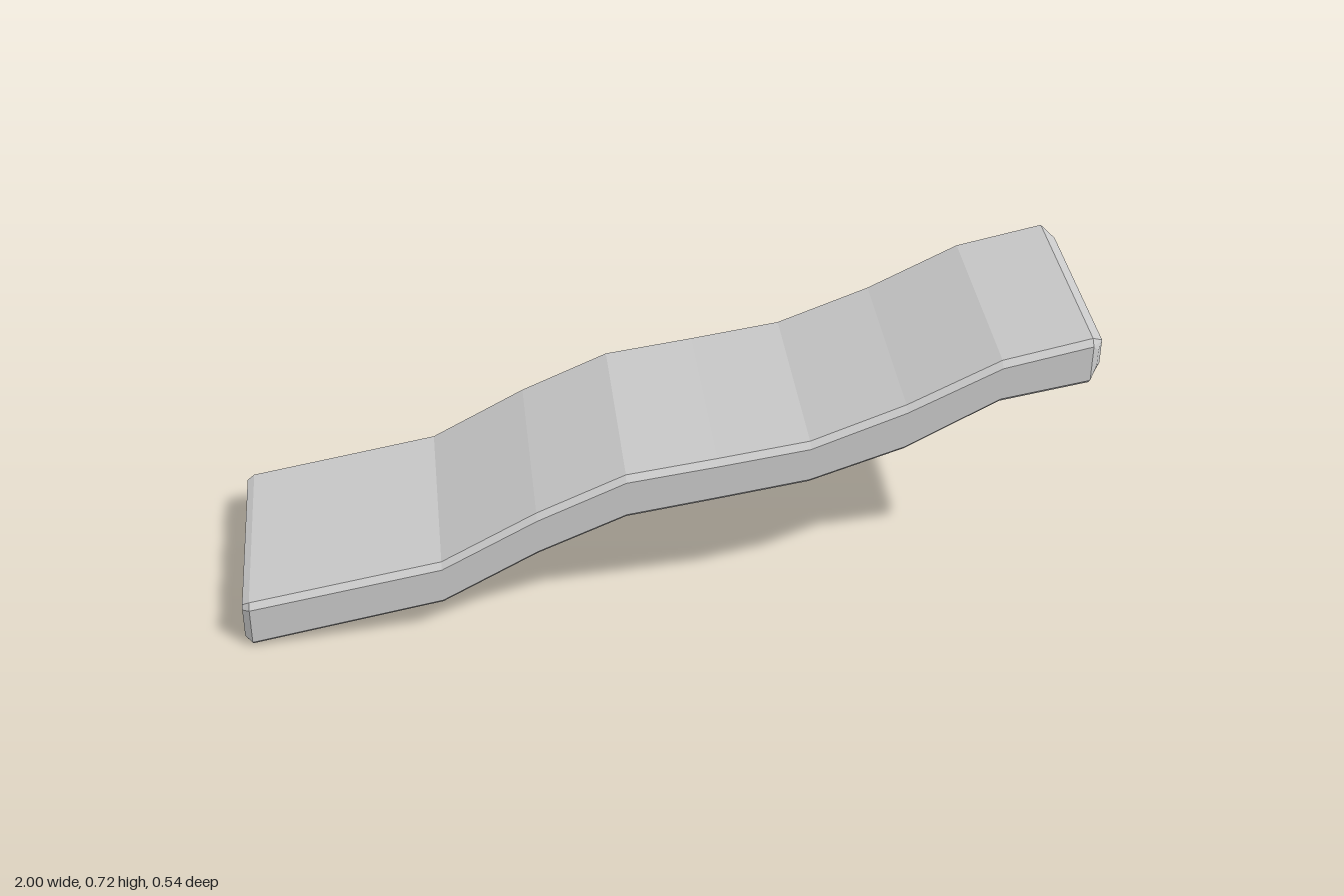
import * as THREE from 'three';

// Eight-sided bevelled section at x: bottom, top, flat half-width, side half-width, bevel height, side setback
function section([x, yb, yt, flat = 0.257, side = 0.271, bevel = 0.014, back = 0]) {
  const p = (px, y, z) => new THREE.Vector3(px, y, z);
  const sx = x - back;
  return [
    p(sx, yb + bevel, side), p(sx, yt - bevel, side), p(x, yt, flat), p(x, yt, -flat),
    p(sx, yt - bevel, -side), p(sx, yb + bevel, -side), p(x, yb, -flat), p(x, yb, flat),
  ];
}

// Skin the sections with flat quads and close both ends
function loft(sections) {
  const points = [];
  const quad = (a, b, c, d) => points.push(a, b, c, a, c, d);
  for (let i = 0; i < sections.length - 1; i++) {
    const s = sections[i], t = sections[i + 1];
    for (let j = 0; j < 8; j++) {
      const k = (j + 1) % 8;
      quad(s[j], t[j], t[k], s[k]);
    }
  }
  const first = sections[0], last = sections[sections.length - 1];
  for (const [a, b, c, d] of [[0, 1, 2, 7], [7, 2, 3, 6], [6, 3, 4, 5]]) {
    quad(first[a], first[b], first[c], first[d]);
    quad(last[d], last[c], last[b], last[a]);
  }
  const geometry = new THREE.BufferGeometry().setFromPoints(points);
  geometry.computeVertexNormals();
  return geometry;
}

export function createModel() {
  const group = new THREE.Group();
  group.name = 'wavyPlank';

  // Rising wave from the low left end to the high right end
  const stations = [
    [-1, 0.018, 0.112, 0.25, 0.257, 0.01],
    [-0.983, 0, 0.122],
    [-0.53, 0.089, 0.206],
    [-0.305, 0.214, 0.33],
    [-0.096, 0.305, 0.423],
    [0.115, 0.338, 0.453],
    [0.33, 0.373, 0.486],
    [0.55, 0.45, 0.571],
    [0.765, 0.567, 0.678],
    [0.97, 0.604, 0.723],
    [1, 0.638, 0.7, 0.23, 0.257, 0.01, 0.014],
  ];

  const material = new THREE.MeshStandardMaterial({ color: 0xcccccc, flatShading: true });
  const plank = new THREE.Mesh(loft(stations.map(section)), material);
  plank.name = 'plank';
  group.add(plank);
  return group;
}
